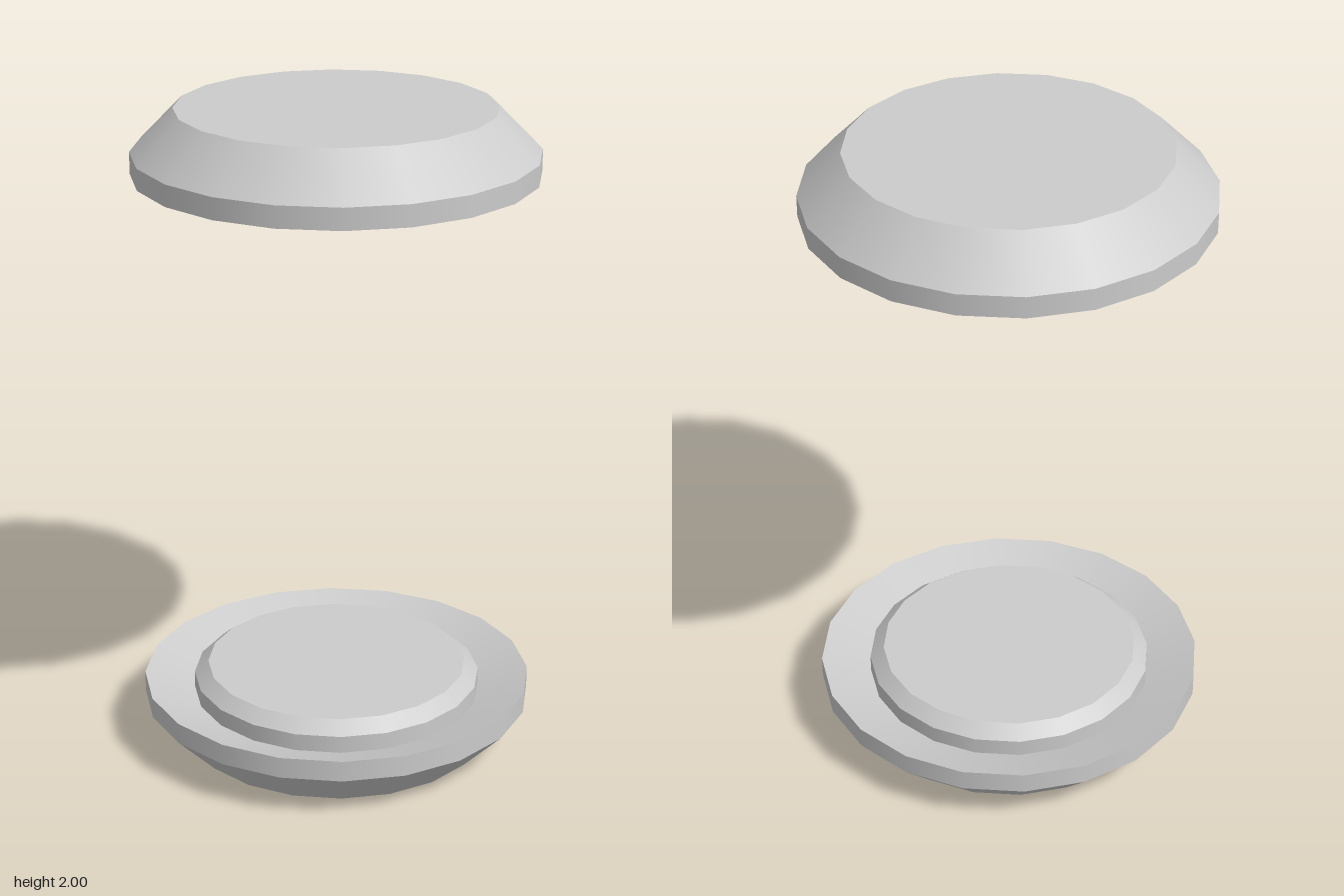
import * as THREE from 'three';
import { mergeGeometries } from 'three/addons/utils/BufferGeometryUtils.js';

const SIDES = 20;

// Profile of one end cap, from the outer face round the rim to the inner boss: [radius, y]
const PROFILE = [
  [0, 0], [0.472, 0], [0.6, 0.13], [0.6, 0.195], // outer face, chamfer, rim
  [0.445, 0.14], [0.445, 0.193],                 // sloping recess, boss wall
  [0.402, 0.23], [0, 0.23],                      // boss chamfer and flat face
];

// One band per profile segment: smooth around, sharp between bands
function turnedGeometry(profile) {
  const bands = [];
  for (let i = 0; i < profile.length - 1; i++) {
    const points = [profile[i], profile[i + 1]].map(([r, y]) => new THREE.Vector2(r, y));
    bands.push(new THREE.LatheGeometry(points, SIDES));
  }
  return mergeGeometries(bands);
}

export function createModel() {
  const group = new THREE.Group();
  group.name = 'endCaps';
  const material = new THREE.MeshStandardMaterial({ color: 0xcccccc });
  const geometry = turnedGeometry(PROFILE);

  const bottomCap = new THREE.Mesh(geometry, material);
  bottomCap.name = 'bottomCap';

  // Same cap turned over, its boss facing down
  const topCap = new THREE.Mesh(geometry, material);
  topCap.name = 'topCap';
  topCap.rotation.x = Math.PI;
  topCap.position.y = 2;

  group.add(bottomCap, topCap);
  return group;
}
